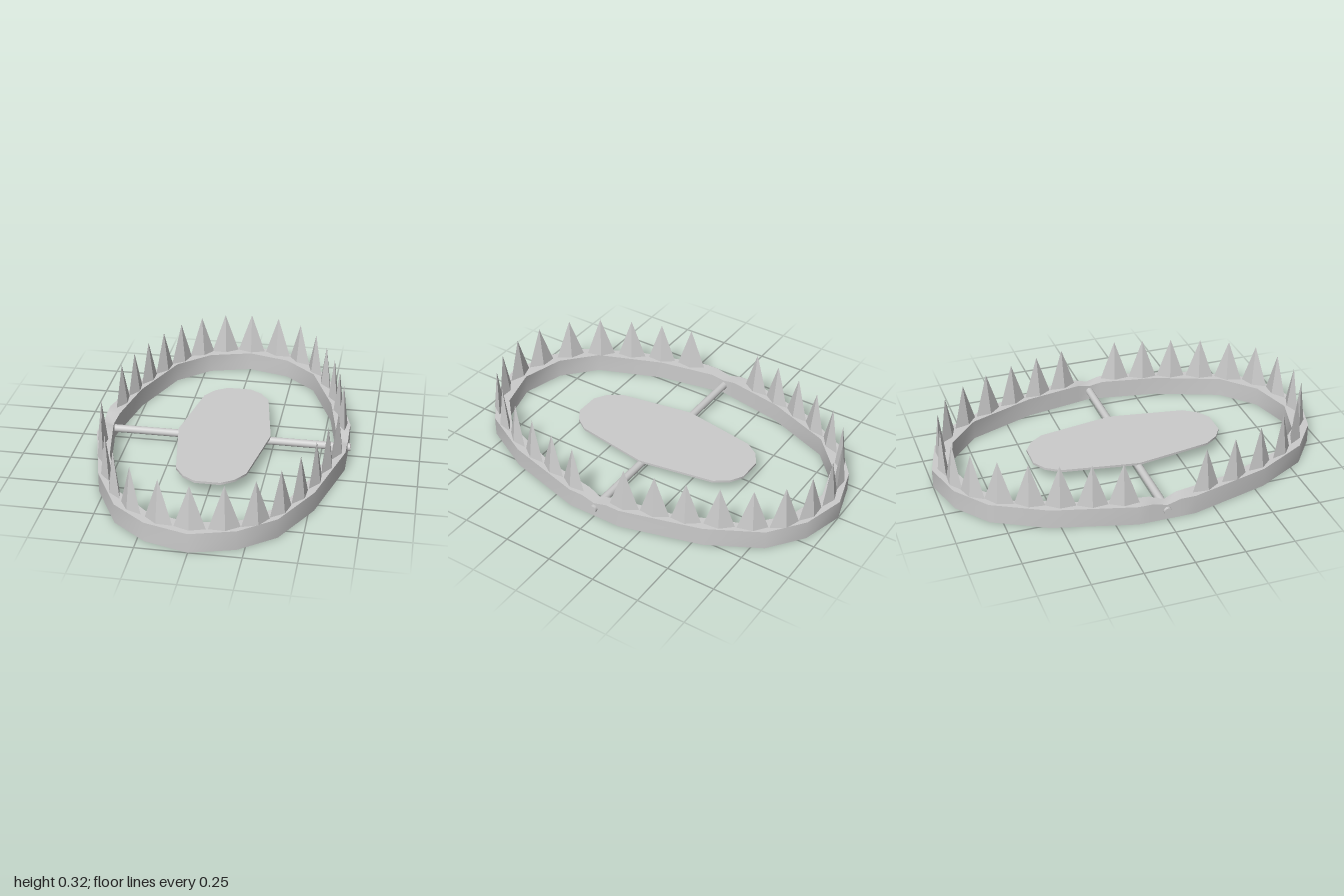
import * as THREE from 'three';
import { toCreasedNormals } from 'three/addons/utils/BufferGeometryUtils.js';

const material = new THREE.MeshStandardMaterial({ color: 0xcccccc });
const spikeMaterial = new THREE.MeshStandardMaterial({ color: 0xcccccc, flatShading: true });

function addMesh(parent, name, geometry, mat = material) {
  const mesh = new THREE.Mesh(geometry, mat);
  mesh.name = name;
  parent.add(mesh);
  return mesh;
}

// Oval band: one quarter as [outer x, outer z, inner x, inner z, top y], mirrored twice
function ringGeometry() {
  const quarter = [
    [0, 1, 0, 0.905, 0.1], [0.215, 0.94, 0.22, 0.845, 0.1], [0.385, 0.81, 0.385, 0.695, 0.1],
    [0.525, 0.55, 0.515, 0.36, 0.1], [0.635, 0.145, 0.554, 0.145, 0.1],
    [0.635, 0.07, 0.567, 0.07, 0.1], [0.635, 0, 0.58, 0, 0.08],
  ];
  const mirror = (list, sx, sz) =>
    list.map(([a, b, c, d, y]) => [a * sx, b * sz, c * sx, d * sz, y]).reverse();
  const half = [...quarter, ...mirror(quarter.slice(0, -1), 1, -1)];
  const loop = [...half, ...mirror(half.slice(1, -1), -1, 1)];
  const sections = loop.map(([ox, oz, ix, iz, y]) =>
    [[ox, 0, oz], [ox, y, oz], [ix, y, iz], [ix, 0, iz]]);

  const positions = [];
  sections.forEach((s, i) => {
    const n = sections[(i + 1) % sections.length];
    for (let k = 0; k < 4; k++) {
      const m = (k + 1) % 4;
      positions.push(...s[k], ...n[k], ...n[m], ...s[k], ...n[m], ...s[m]);
    }
  });
  const geometry = new THREE.BufferGeometry();
  geometry.setAttribute('position', new THREE.Float32BufferAttribute(positions, 3));
  return toCreasedNormals(geometry, 0.6);
}

// Row of diamond-based spikes along one jaw; each spike follows the band's direction
function addSpikes(parent, name, leftSide, rightSide, sz) {
  const row = new THREE.Group();
  row.name = name;
  const points = [
    ...rightSide.map(([x, z]) => [-x, z]), [0, 0.945], ...leftSide.slice().reverse(),
  ].map(([x, z]) => [x, z * sz]);
  const geometry = new THREE.ConeGeometry(1, 0.22, 4, 1);
  geometry.scale(0.075, 1, 0.026);
  points.forEach(([x, z], i) => {
    const a = points[Math.max(i - 1, 0)];
    const b = points[Math.min(i + 1, points.length - 1)];
    const spike = addMesh(row, 'spike', geometry, spikeMaterial);
    spike.position.set(x, 0.21, z);
    spike.rotation.y = Math.atan2(a[1] - b[1], b[0] - a[0]);
  });
  parent.add(row);
}

export function createModel() {
  const model = new THREE.Group();
  model.name = 'jawTrap';

  addMesh(model, 'jawRing', ringGeometry());

  // Spike positions [x, z] listed from the hinge towards the tip of each jaw
  const left = [[0.593, 0.15], [0.558, 0.3], [0.517, 0.45], [0.46, 0.6],
    [0.388, 0.74], [0.288, 0.855], [0.155, 0.922]];
  const frontRight = [[0.585, 0.215], [0.545, 0.38], [0.487, 0.54], [0.41, 0.695],
    [0.3, 0.825], [0.15, 0.915]];
  const backRight = [[0.58, 0.2], [0.545, 0.345], [0.5, 0.49], [0.443, 0.625],
    [0.37, 0.755], [0.272, 0.86], [0.148, 0.922]];
  addSpikes(model, 'frontSpikes', left, frontRight, 1);
  addSpikes(model, 'backSpikes', left, backRight, -1);

  // Hinge rod across the ring
  const rod = addMesh(model, 'hingeRod', new THREE.CylinderGeometry(0.02, 0.02, 1.3, 16));
  rod.rotation.z = Math.PI / 2;
  rod.position.y = 0.05;

  // Thin oval trigger plate resting on the rod
  const edge = [[0.24, 0], [0.19, 0.3], [0.175, 0.39], [0.127, 0.46], [0.063, 0.5]];
  const upper = [...edge, ...edge.map(([x, y]) => [-x, y]).reverse()];
  const outline = [...upper, ...upper.slice(1, -1).map(([x, y]) => [x, -y]).reverse()];
  const plate = new THREE.ExtrudeGeometry(
    new THREE.Shape(outline.map(([x, y]) => new THREE.Vector2(x, y))),
    { depth: 0.012, bevelEnabled: false });
  plate.rotateX(-Math.PI / 2);
  addMesh(model, 'triggerPlate', toCreasedNormals(plate, 0.6)).position.y = 0.065;

  return model;
}
